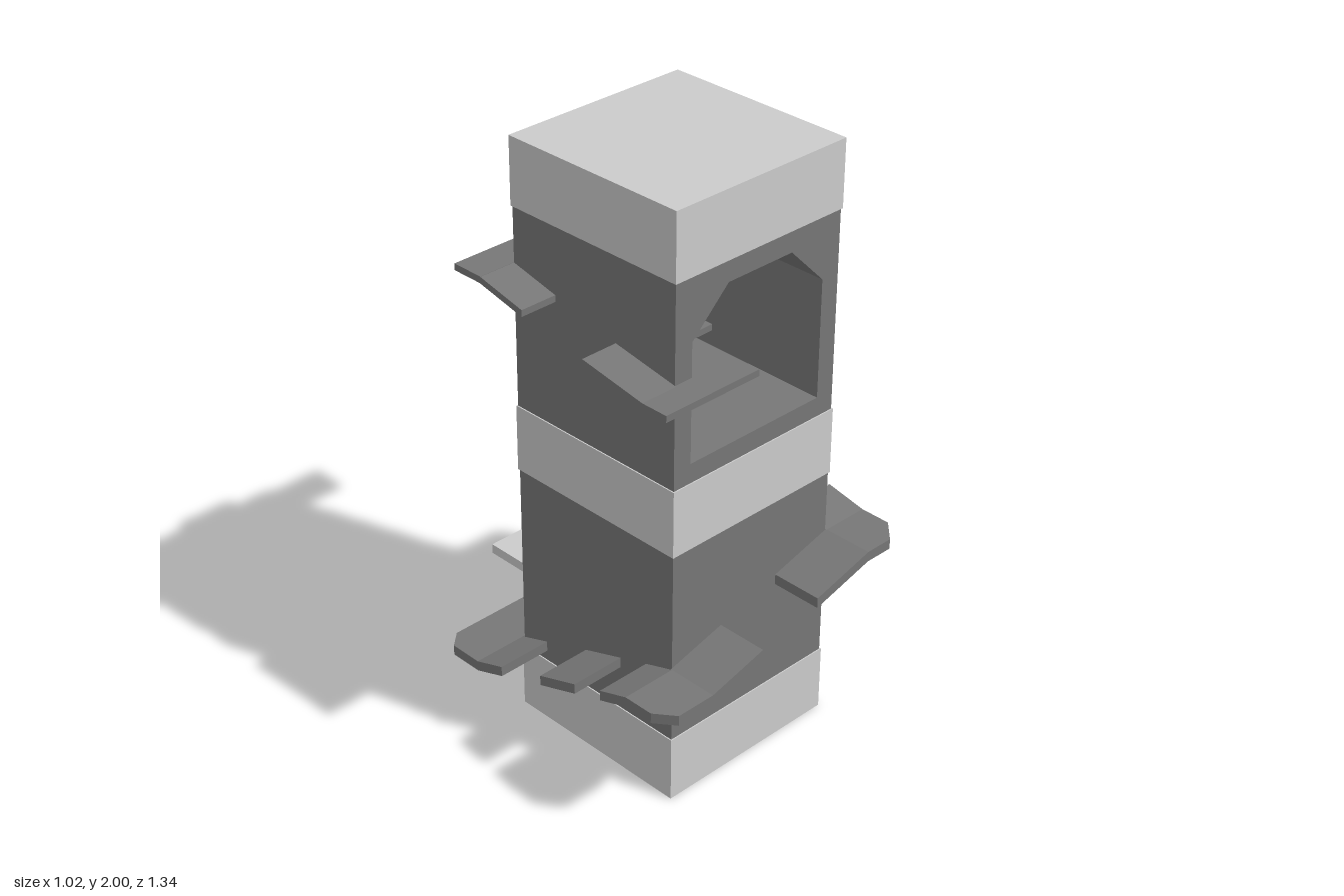
import * as THREE from 'three';
import { ConvexGeometry } from 'three/addons/geometries/ConvexGeometry.js';

const light = new THREE.MeshStandardMaterial({ color: 0xcccccc });
const dark = new THREE.MeshStandardMaterial({ color: 0x777777 });
const darker = new THREE.MeshStandardMaterial({ color: 0x505050 });

// tower footprint
const X0 = -0.325, X1 = 0.345, Z0 = -0.17, Z1 = 0.5;

export function createModel() {
  const model = new THREE.Group();

  const add = (name, geometry, material, parent = model) => {
    const mesh = new THREE.Mesh(geometry, material);
    mesh.name = name;
    parent.add(mesh);
    return mesh;
  };

  // axis-aligned box from its limits
  const box = (name, x0, x1, y0, y1, z0, z1, material, parent) => {
    const m = add(name, new THREE.BoxGeometry(x1 - x0, y1 - y0, z1 - z0), material, parent);
    m.position.set((x0 + x1) / 2, (y0 + y1) / 2, (z0 + z1) / 2);
    return m;
  };

  // walkway made of flat or sloping convex plates; each plate lists its top corners
  const walkway = (name, material, thickness, plates) => {
    const group = new THREE.Group();
    group.name = name;
    for (const corners of plates) {
      const top = corners.map((c) => new THREE.Vector3(...c));
      const bottom = top.map((v) => v.clone().setY(v.y - thickness));
      add(name + 'Plate', new ConvexGeometry([...top, ...bottom]), material, group);
    }
    model.add(group);
  };

  // rectangular plate sloping along x or z
  const alongX = (xa, ya, xb, yb, z0, z1) =>
    [[xa, ya, z0], [xb, yb, z0], [xb, yb, z1], [xa, ya, z1]];
  const alongZ = (za, ya, zb, yb, x0, x1) =>
    [[x0, ya, za], [x0, yb, zb], [x1, yb, zb], [x1, ya, za]];
  // flat plate from [x, z] corners
  const flat = (y, points) => points.map(([x, z]) => [x, y, z]);

  // three bands and the lower shaft
  const e = 0.004;
  box('baseBand', X0, X1, 0, 0.225, Z0, Z1, light);
  box('middleBand', X0, X1, 0.89, 1.115, Z0, Z1, light);
  box('topBand', X0, X1, 1.78, 2, Z0, Z1, light);
  box('lowerShaft', X0 + e, X1 - e, 0.225, 0.89, Z0 + e, Z1 - e, dark);

  // upper storey with an open passage from front to back
  const storey = (name, z0, z1, notch) => {
    const points = (list) => list.map(([x, y]) => new THREE.Vector2(x, y));
    const shape = new THREE.Shape(points([
      [X0 + e, 1.115], [X1 - e, 1.115], [X1 - e, 1.78], [X0 + e, 1.78]]));
    shape.holes.push(new THREE.Path(points([
      [-0.255, 1.18], [-0.255, 1.575], [-0.115, 1.71], [0.14, 1.71],
      [0.275, 1.575], [0.275, 1.18], ...notch])));
    const geometry = new THREE.ExtrudeGeometry(shape, { depth: z1 - z0, bevelEnabled: false });
    add(name, geometry.translate(0, 0, z0), dark);
  };
  const mouth = -0.07;
  storey('upperStorey', mouth, Z1 - e, []);
  storey('upperStoreyBack', Z0 + e, mouth,
    [[0.21, 1.18], [0.15, 1.118], [-0.05, 1.118], [-0.11, 1.18]]);

  // sloping sill from the ladder up to the passage floor
  add('passageSill', new ConvexGeometry([
    [-0.05, 1.116, Z0 + e], [0.15, 1.116, Z0 + e], [-0.05, 1.116, mouth],
    [0.15, 1.116, mouth], [-0.11, 1.18, mouth], [0.21, 1.18, mouth],
  ].map((p) => new THREE.Vector3(...p))), dark);

  // two framed windows on the left wall
  for (const z of [0.025, 0.33]) {
    const win = new THREE.Group();
    win.name = 'window';
    model.add(win);
    const za = z - 0.08, zb = z + 0.08, ya = 1.23, yb = 1.695, t = 0.012;
    box('windowPane', X1 - 0.02, X1, ya, yb, za, zb, darker, win);
    for (const c of [za + t / 2, z, zb - t / 2])
      box('windowUpright', X1 - 0.01, X1 + 0.006, ya, yb, c - t / 2, c + t / 2, darker, win);
    for (const c of [ya + t / 2, 1.49, yb - t / 2])
      box('windowCrossbar', X1 - 0.01, X1 + 0.006, c - t / 2, c + t / 2, za, zb, darker, win);
  }

  // ladder rungs up the back of the middle band
  for (let i = 0; i < 9; i++) {
    const y = 0.905 + i * 0.0245;
    box('ladderRung', -0.045, 0.145, y, y + 0.012, Z0 - 0.019, Z0, light);
  }

  const T = 0.035;
  // entrance ramp at the back
  walkway('entranceRamp', light, T, [
    alongX(0.51, 0.05, 0.355, 0.05, -0.67, -0.52),
    alongX(0.355, 0.05, 0.15, 0.225, -0.67, -0.52),
    alongX(0.15, 0.225, -0.02, 0.225, -0.67, Z0),
  ]);

  // lower spiral of walkways, from the back round to the ladder
  walkway('firstWalkway', dark, T, [
    alongZ(-0.48, 0.226, -0.41, 0.26, -0.02, 0.15),
    flat(0.26, [[0.15, Z0], [0.15, -0.41], [-0.02, -0.41], [-0.1, -0.33], [-0.1, Z0]]),
    flat(0.26, [[-0.1, Z0], [-0.1, -0.33], [-0.465, -0.33], [-0.515, -0.285], [-0.515, Z0]]),
    alongZ(Z0, 0.26, -0.055, 0.3, -0.515, X0),
  ]);
  walkway('secondWalkway', dark, T, [alongZ(0.125, 0.365, 0.28, 0.418, -0.515, X0)]);
  walkway('thirdWalkway', dark, T, [
    alongZ(0.39, 0.455, Z1, 0.492, -0.515, X0),
    flat(0.492, [[X0, Z1], [X0, 0.67], [-0.465, 0.67], [-0.515, 0.605], [-0.515, Z1]]),
    alongX(X0, 0.492, -0.115, 0.548, Z1 - e, 0.67),
  ]);
  walkway('fourthWalkway', dark, T, [
    alongX(0.12, 0.618, X1, 0.68, Z1 - e, 0.67),
    flat(0.68, [[X1, Z1], [X1, 0.67], [0.445, 0.67], [0.51, 0.605], [0.51, Z1]]),
    alongZ(Z1, 0.68, 0.36, 0.708, X1 - e, 0.51),
  ]);
  walkway('fifthWalkway', dark, T, [alongZ(0.19, 0.748, 0.14, 0.76, X1 - e, 0.51)]);
  walkway('sixthWalkway', dark, T, [
    alongZ(-0.035, 0.8, Z0, 0.832, X1 - e, 0.51),
    flat(0.832, [[X1, Z0], [X1, -0.315], [0.46, -0.315], [0.51, -0.26], [0.51, Z0]]),
    alongX(X1, 0.832, 0.15, 0.89, -0.315, Z0),
    flat(0.89, [[0.15, Z0], [0.15, -0.315], [-0.02, -0.315], [-0.05, -0.26], [-0.05, Z0]]),
  ]);

  // upper, thinner walkways
  const t = 0.022;
  walkway('passageStep', dark, t, [alongX(0.13, 1.255, 0.28, 1.255, -0.1, 0.06)]);
  walkway('frontWalkway', dark, t, [
    alongX(-0.085, 1.462, -0.45, 1.462, Z1 - e, 0.593),
    alongZ(Z1, 1.462, 0.26, 1.502, -0.45, X0 + e),
  ]);
  walkway('backWalkway', dark, t, [
    alongZ(0.01, 1.558, Z0, 1.598, -0.45, X0 + e),
    alongX(-0.45, 1.598, -0.075, 1.598, -0.28, Z0 + e),
  ]);

  // top walkway, bending out around an open hatch
  walkway('topWalkway', light, t, [
    flat(1.802, [[0.505, Z0], [0.505, -0.31], [0.17, -0.31], [0.14, -0.3], [0.14, Z0]]),
    flat(1.802, [[0.17, -0.31], [0.145, -0.37], [-0.06, -0.37], [-0.02, -0.302], [0.14, -0.302]]),
    flat(1.802, [[-0.02, -0.302], [-0.06, -0.37], [-0.085, -0.335], [-0.06, -0.25]]),
    flat(1.802, [[-0.06, Z0], [-0.06, -0.25], [-0.085, -0.335], [-0.15, -0.335], [-0.15, Z0]]),
  ]);

  return model;
}
